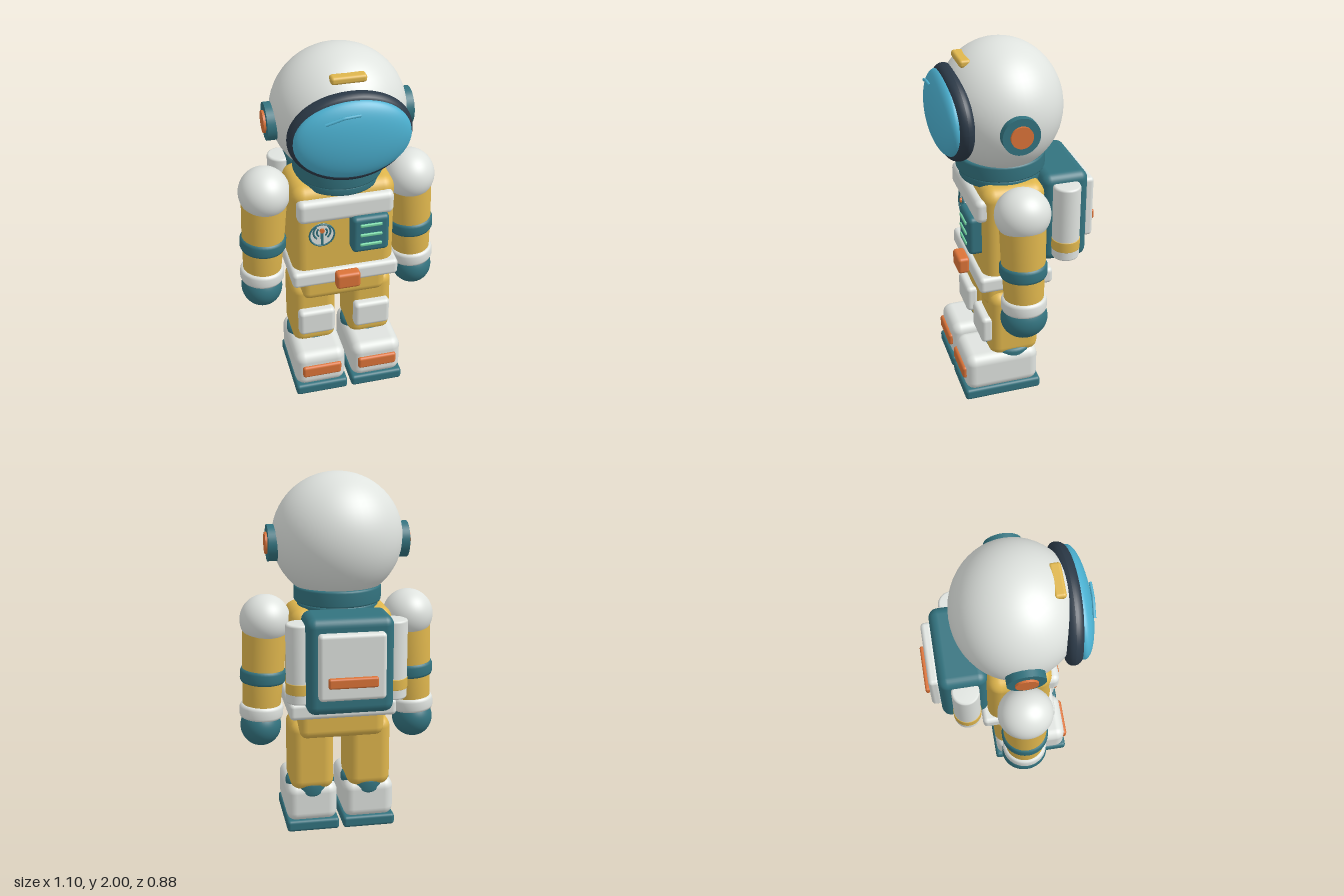
import * as THREE from 'three';
import { RoundedBoxGeometry } from 'three/addons/geometries/RoundedBoxGeometry.js';

const mat = (name, color) => {
  const m = new THREE.MeshStandardMaterial({ color });
  m.name = name;
  return m;
};

export function createModel() {
  const white = mat('shell white', 0xdfe3df);
  const yellow = mat('suit yellow', 0xdfb64d);
  const teal = mat('trim teal', 0x33737f);
  const blue = mat('visor blue', 0x4bb0d0);
  const navy = mat('rim navy', 0x2b3947);
  const orange = mat('accent orange', 0xdb7338);
  const mint = mat('light mint', 0x74d6a4);

  const CZ = 0.055; // depth of the body's centre line
  const root = new THREE.Group();
  root.name = 'astronaut';

  const add = (parent, name, geometry, material, x = 0, y = 0, z = 0) => {
    const mesh = new THREE.Mesh(geometry, material);
    mesh.name = name;
    mesh.position.set(x, y, z);
    parent.add(mesh);
    return mesh;
  };
  // Rounded box given by its limits on each axis
  const box = (parent, name, material, [x0, x1], [y0, y1], [z0, z1], r) =>
    add(parent, name, new RoundedBoxGeometry(x1 - x0, y1 - y0, z1 - z0, 4, r), material,
      (x0 + x1) / 2, (y0 + y1) / 2, (z0 + z1) / 2);
  const ball = (parent, name, material, [rx, ry, rz], x, y, z) =>
    add(parent, name, new THREE.SphereGeometry(1, 48, 32).scale(rx, ry, rz), material, x, y, z);
  // Upright drum with softened edges
  const drum = (parent, name, material, rTop, rBottom, y0, y1, x, z, b = 0.012) => {
    const pts = [[0, y0], [rBottom - b, y0], [rBottom - b * 0.3, y0 + b * 0.3], [rBottom, y0 + b],
      [rTop, y1 - b], [rTop - b * 0.3, y1 - b * 0.3], [rTop - b, y1], [0, y1]];
    return add(parent, name, new THREE.LatheGeometry(pts.map(p => new THREE.Vector2(...p)), 40),
      material, x, 0, z);
  };

  // Helmet and collar
  const head = new THREE.Group();
  head.name = 'head';
  root.add(head);
  ball(head, 'helmet', white, [0.352, 0.345, 0.325], 0, 1.655, CZ);
  drum(head, 'neckRing', teal, 0.238, 0.238, 1.31, 1.4, 0, CZ);
  drum(head, 'collar', teal, 0.22, 0.22, 1.26, 1.31, 0, CZ);

  // Visor rim, bent back towards the sides
  const rim = new THREE.TorusGeometry(0.275, 0.043, 20, 72);
  const p = rim.attributes.position;
  for (let i = 0; i < p.count; i++) {
    p.setXYZ(i, p.getX(i), p.getY(i) * 0.755, p.getZ(i) - 0.2 * p.getX(i) ** 2);
  }
  rim.computeVertexNormals();
  add(head, 'visorRim', rim, navy, 0, 1.64, 0.322);
  ball(head, 'visor', blue, [0.298, 0.212, 0.08], 0, 1.643, 0.354);

  // Glint on the visor
  const glint = new THREE.CurvePath();
  const g = [[-0.15, 1.768, 0.415], [-0.06, 1.797, 0.423], [0.02, 1.803, 0.423]]
    .map(v => new THREE.Vector3(...v));
  glint.add(new THREE.LineCurve3(g[0], g[1]));
  glint.add(new THREE.LineCurve3(g[1], g[2]));
  add(head, 'visorGlint', new THREE.TubeGeometry(glint, 12, 0.008, 8), blue);

  box(head, 'helmetBadge', yellow, [-0.09, 0.09], [1.9, 1.94], [0.225, 0.285], 0.015);

  for (const s of [-1, 1]) {
    const disc = (name, m, r, x0, x1) =>
      add(head, name, new THREE.CylinderGeometry(r, r, x1 - x0, 40).rotateZ(Math.PI / 2), m,
        s * (x0 + x1) / 2, 1.63, CZ);
    disc('earCup', teal, 0.098, 0.3, 0.38);
    disc('earCap', orange, 0.058, 0.37, 0.392);
  }

  // Torso, belt and pelvis
  const body = new THREE.Group();
  body.name = 'body';
  root.add(body);
  box(body, 'torso', yellow, [-0.28, 0.28], [0.72, 1.29], [-0.12, 0.225], 0.07);
  box(body, 'pelvis', yellow, [-0.24, 0.24], [0.555, 0.76], [-0.11, 0.21], 0.05);
  box(body, 'belt', white, [-0.295, 0.295], [0.69, 0.785], [-0.155, 0.255], 0.025);
  box(body, 'buckle', orange, [-0.067, 0.067], [0.69, 0.785], [0.25, 0.315], 0.018);
  box(body, 'chestPlate', white, [-0.26, 0.26], [1.1, 1.235], [0.17, 0.262], 0.035);

  // Control unit with three lights
  box(body, 'controlUnit', teal, [0.023, 0.225], [0.9, 1.12], [0.2, 0.293], 0.025);
  for (const y of [0.955, 1.015, 1.075]) {
    box(body, 'controlLight', mint, [0.063, 0.183], [y - 0.009, y + 0.009], [0.285, 0.302], 0.006);
  }

  // Round dial with a signal mast
  const dial = new THREE.Group();
  dial.name = 'chestDial';
  dial.position.set(-0.13, 1.015, 0.222);
  body.add(dial);
  const flat = (name, m, r, d, x, y, z) =>
    add(dial, name, new THREE.CylinderGeometry(r, r, d, 32).rotateX(Math.PI / 2), m, x, y, z);
  flat('dialFace', white, 0.066, 0.02, 0, 0, 0.005);
  add(dial, 'dialRim', new THREE.TorusGeometry(0.067, 0.005, 8, 40), teal, 0, 0, 0.015);
  add(dial, 'dialMast', new THREE.BoxGeometry(0.014, 0.085, 0.008), teal, 0, -0.018, 0.018);
  flat('dialLamp', orange, 0.013, 0.01, 0, 0.03, 0.021);
  for (const r of [0.028, 0.046]) {
    for (const a of [-0.9, Math.PI - 0.9]) {
      add(dial, 'dialWave', new THREE.TorusGeometry(r, 0.005, 6, 16, 1.8).rotateZ(a), teal,
        0, 0.018, 0.016);
    }
  }

  // Backpack with two tanks
  const pack = new THREE.Group();
  pack.name = 'backpack';
  root.add(pack);
  box(pack, 'packBody', teal, [-0.23, 0.23], [0.785, 1.305], [-0.37, -0.112], 0.05);
  box(pack, 'packPanel', white, [-0.177, 0.177], [0.88, 1.235], [-0.42, -0.36], 0.022);
  box(pack, 'packStripe', orange, [-0.13, 0.13], [0.955, 1.01], [-0.445, -0.41], 0.011);
  for (const s of [-1, 1]) {
    drum(pack, 'tank', white, 0.074, 0.074, 0.83, 1.26, s * 0.25, -0.236);
    drum(pack, 'tankBand', yellow, 0.077, 0.077, 0.885, 0.945, s * 0.25, -0.236, 0.003);
  }

  for (const s of [-1, 1]) {
    const side = s > 0 ? 'left' : 'right';
    const span = (a, b) => (s > 0 ? [a, b] : [-b, -a]);

    // Arm, built downwards from the shoulder and tilted outwards
    const arm = new THREE.Group();
    arm.name = side + 'Arm';
    arm.position.set(s * 0.397, 1.212, CZ);
    arm.rotation.z = s * 0.06;
    root.add(arm);
    ball(arm, 'shoulder', white, [0.138, 0.138, 0.146], 0, 0, 0);
    drum(arm, 'upperSleeve', yellow, 0.122, 0.115, -0.32, -0.04, 0, 0);
    drum(arm, 'armBand', teal, 0.126, 0.126, -0.352, -0.268, 0, 0, 0.02);
    drum(arm, 'lowerSleeve', yellow, 0.112, 0.105, -0.5, -0.33, 0, 0);
    drum(arm, 'cuff', white, 0.121, 0.121, -0.556, -0.474, 0, 0, 0.02);
    ball(arm, 'glove', teal, [0.113, 0.115, 0.126], 0, -0.603, 0);

    // Leg and boot
    const leg = new THREE.Group();
    leg.name = side + 'Leg';
    root.add(leg);
    box(leg, 'trouserLeg', yellow, span(0.038, 0.283), [0.24, 0.65], [-0.085, 0.193], 0.06);
    box(leg, 'kneePad', white, span(0.056, 0.26), [0.34, 0.5], [0.17, 0.24], 0.025);
    drum(leg, 'ankleRing', teal, 0.138, 0.138, 0.2, 0.29, s * 0.16, CZ, 0.02);
    box(leg, 'boot', white, span(0.018, 0.305), [0.05, 0.275], [-0.077, 0.34], 0.055);
    box(leg, 'sole', teal, span(0.012, 0.308), [0, 0.066], [-0.087, 0.35], 0.018);
    box(leg, 'toeStripe', orange, span(0.05, 0.27), [0.13, 0.203], [0.3, 0.357], 0.015);
  }

  return root;
}
